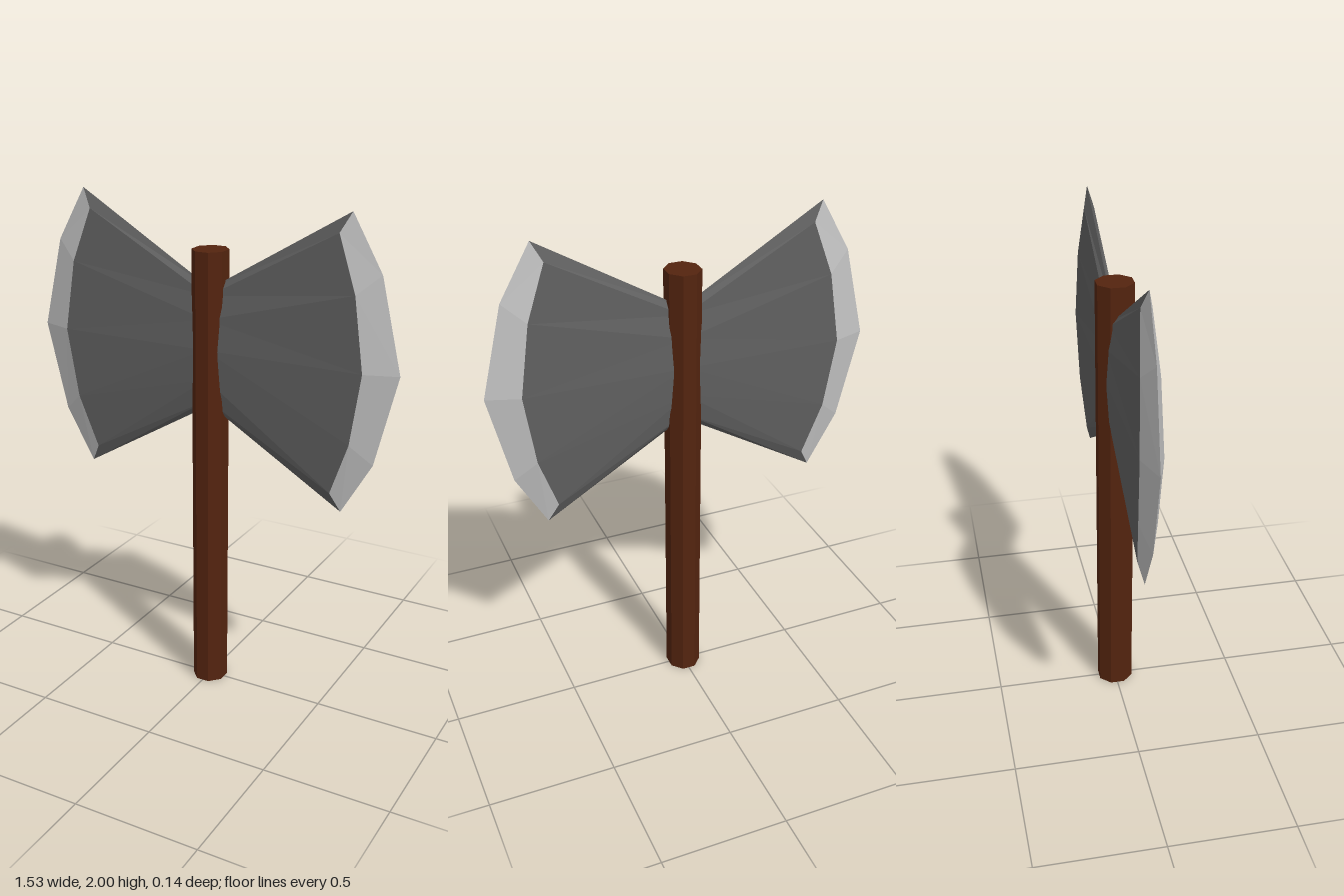
import * as THREE from 'three';

const MID = 1.435; // height of the blade centre line

// Upper half of one blade: [x, height above centre, half thickness]
const shoulderHalf = [[0.52, 0.49, 0.02], [0.595, 0.28, 0.035], [0.637, 0, 0.042]];
const edgeHalf = [[0.56, 0.565, 0], [0.68, 0.355, 0], [0.765, 0, 0]];

// Mirror a half profile below the centre line
const full = (half) => [...half, ...half.slice(0, -1).reverse().map(([x, h, z]) => [x, -h, z])];

// Flat-sided strip between two profiles, repeated on front and back
function strip(inner, outer, sx) {
  const pos = [];
  for (const sz of [1, -1]) {
    const put = ([x, h, z]) => pos.push(x * sx, MID + h, z * sz);
    for (let i = 0; i < inner.length - 1; i++) {
      const [a, b, c, d] = [inner[i], inner[i + 1], outer[i + 1], outer[i]];
      const tris = sx * sz > 0 ? [a, b, c, a, c, d] : [a, c, b, a, d, c];
      tris.forEach(put);
    }
  }
  const geo = new THREE.BufferGeometry();
  geo.setAttribute('position', new THREE.Float32BufferAttribute(pos, 3));
  geo.computeVertexNormals();
  return geo;
}

export function createModel() {
  const wood = new THREE.MeshStandardMaterial({ color: 0x54240f, flatShading: true });
  const iron = new THREE.MeshStandardMaterial({ color: 0x606060, flatShading: true });
  const steel = new THREE.MeshStandardMaterial({ color: 0xc2c2c2, flatShading: true });
  wood.name = 'brown wood';
  iron.name = 'dark iron';
  steel.name = 'sharpened steel';

  const model = new THREE.Group();
  model.name = 'doubleAxe';
  const add = (parent, name, geo, mat) => {
    const mesh = new THREE.Mesh(geo, mat);
    mesh.name = name;
    parent.add(mesh);
  };

  // Eight-sided shaft
  const shaft = new THREE.CylinderGeometry(0.07, 0.07, 1.815, 8);
  shaft.rotateY(Math.PI / 8);
  shaft.scale(1, 1, 1.07);
  shaft.translate(0, 1.815 / 2, 0);
  add(model, 'handle', shaft, wood);

  // Flared blades, narrowing towards the middle of the shaft
  const shoulder = full(shoulderHalf);
  const edge = full(edgeHalf);
  const rim = [edge[0], ...shoulder, edge[edge.length - 1]];
  const root = rim.map(([, h, z], i) => {
    const k = i === 0 || i === rim.length - 1 ? 0.41 : 0.42;
    return [0, h * k, z];
  });
  for (const [side, sx] of [['left', 1], ['right', -1]]) {
    const blade = new THREE.Group();
    blade.name = side + 'Blade';
    add(blade, side + 'BladeBody', strip(root, rim, sx), iron);
    add(blade, side + 'CuttingEdge', strip(shoulder, edge, sx), steel);
    model.add(blade);
  }
  return model;
}
